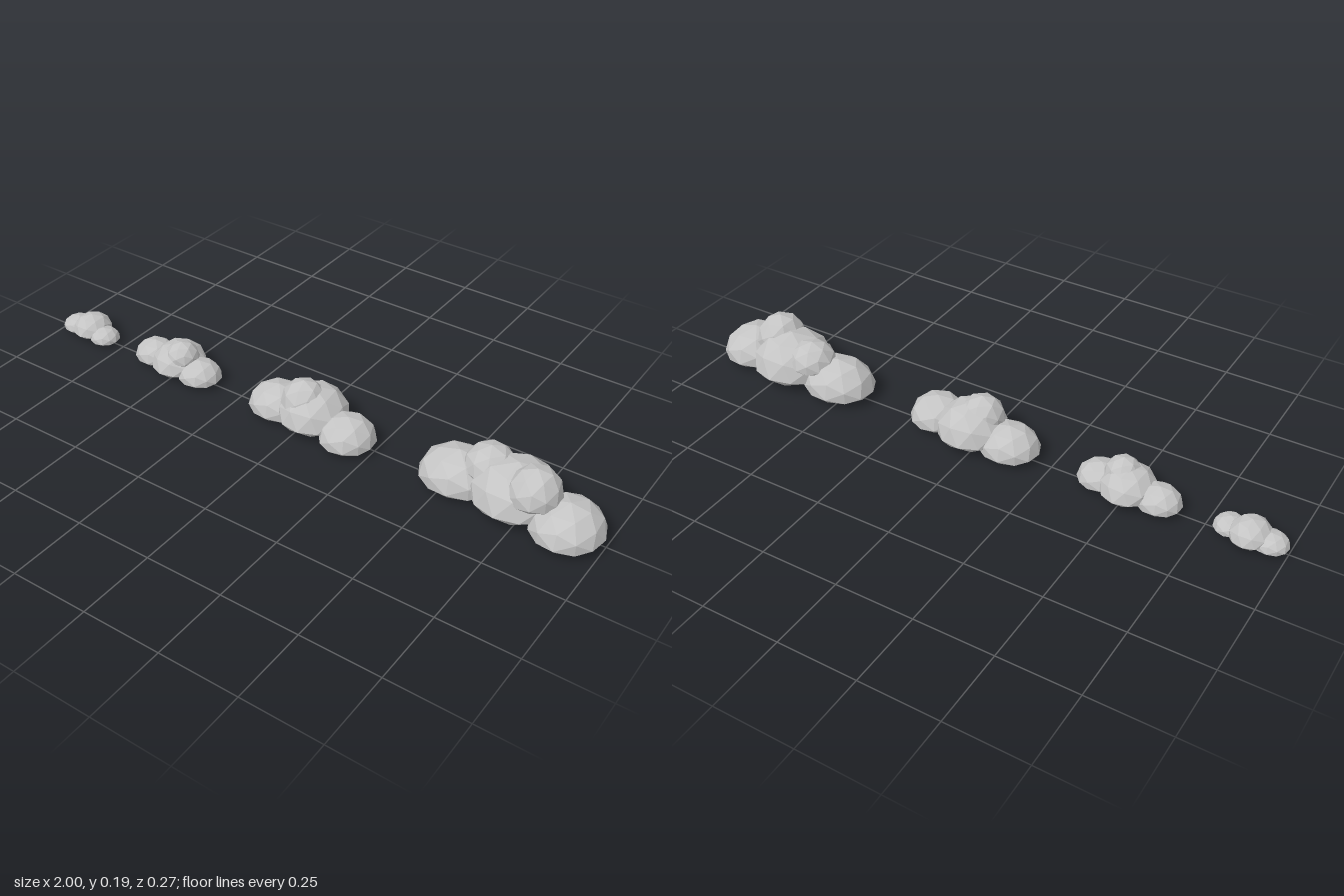
import * as THREE from 'three';

// Each puff: [x, z, radiusX, radiusZ, bottom y, top y, turn]
const CLOUDS = {
  tinyCloud: [
    [-0.945, 0, 0.055, 0.052, 0.004, 0.055, 0.1],
    [-0.885, -0.002, 0.063, 0.068, 0.006, 0.08, 1.6],
    [-0.82, 0.01, 0.05, 0.05, 0.004, 0.055, 0.5],
  ],
  smallCloud: [
    [-0.605, -0.005, 0.072, 0.066, 0.004, 0.08, 0.2],
    [-0.505, -0.002, 0.086, 0.093, 0.008, 0.107, 1.5],
    [-0.48, 0.01, 0.057, 0.055, 0.05, 0.125, 0.8],
    [-0.41, 0.01, 0.073, 0.07, 0.004, 0.08, 0.4],
  ],
  mediumCloud: [
    [-0.105, -0.005, 0.1, 0.091, 0, 0.103, 0.1],
    [0.025, -0.006, 0.113, 0.113, 0.008, 0.145, 1.7],
    [0, 0.01, 0.075, 0.07, 0.06, 0.165, 0.7],
    [0.165, 0.018, 0.09, 0.09, 0, 0.103, 0.4],
  ],
  largeCloud: [
    [0.53, -0.009, 0.122, 0.107, 0, 0.125, 0.15],
    [0.715, -0.006, 0.135, 0.13, 0.01, 0.165, 1.55],
    [0.62, -0.025, 0.08, 0.078, 0.07, 0.17, 0.9],
    [0.785, 0.025, 0.08, 0.085, 0.075, 0.193, 0.3],
    [0.89, 0.02, 0.11, 0.115, 0, 0.12, 0.1],
  ],
};

// Faceted ball whose lower part is squashed to a shallow base
function puffGeometry([x, z, rx, rz, bottom, top, turn]) {
  const geometry = new THREE.IcosahedronGeometry(1, 1).rotateY(turn);
  const waist = bottom + (top - bottom) * 0.26;
  const pos = geometry.attributes.position;
  for (let i = 0; i < pos.count; i++) {
    const y = pos.getY(i);
    pos.setXYZ(i, x + pos.getX(i) * rx,
      waist + y * (y < 0 ? waist - bottom : top - waist),
      z + pos.getZ(i) * rz);
  }
  geometry.computeVertexNormals();
  return geometry;
}

export function createModel() {
  const model = new THREE.Group();
  model.name = 'clouds';
  const grey = new THREE.MeshStandardMaterial({ color: 0xc4c4c4, flatShading: true });
  grey.name = 'cloud grey';
  for (const [name, puffs] of Object.entries(CLOUDS)) {
    const cloud = new THREE.Group();
    cloud.name = name;
    puffs.forEach((puff, i) => {
      const mesh = new THREE.Mesh(puffGeometry(puff), grey);
      mesh.name = `puff${i + 1}`;
      cloud.add(mesh);
    });
    model.add(cloud);
  }
  return model;
}
